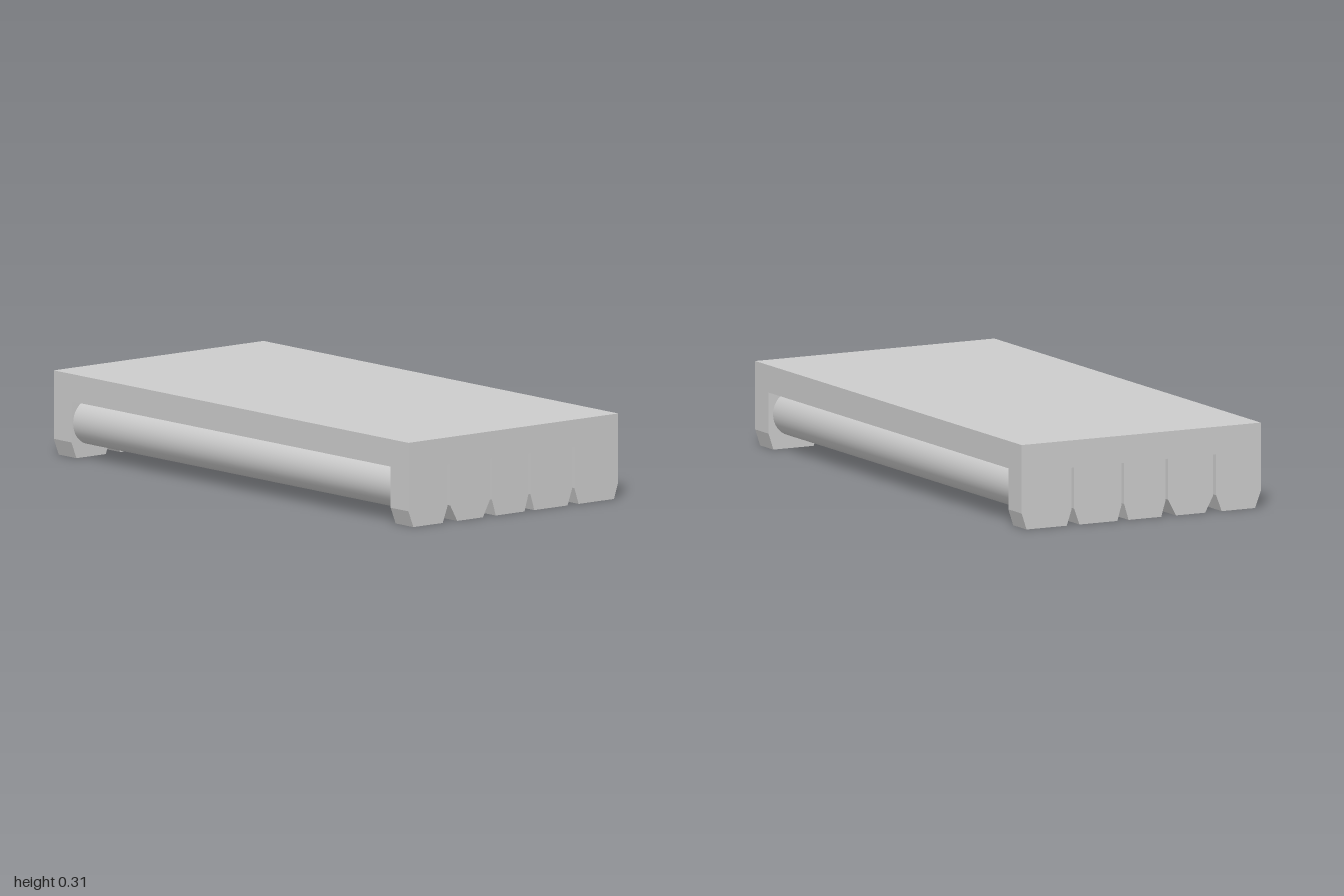
import * as THREE from 'three';

export function createModel() {
  const model = new THREE.Group();
  const material = new THREE.MeshStandardMaterial({ color: 0xcccccc });
  const add = (name, geometry, x, y, z) => {
    const mesh = new THREE.Mesh(geometry, material);
    mesh.name = name;
    mesh.position.set(x, y, z);
    model.add(mesh);
    return mesh;
  };

  const half = 0.49, top = 0.31, slotTop = 0.21, chamfer = 0.06, endDepth = 0.1;

  // Each tooth: left side, left foot, right foot, right side
  const teeth = [
    [-0.49, -0.467, -0.33, -0.307],
    [-0.295, -0.262, -0.142, -0.11],
    [-0.1, -0.082, 0.052, 0.07],
    [0.08, 0.098, 0.253, 0.275],
    [0.285, 0.305, 0.47, 0.49],
  ];

  // Flat top between the two end plates
  const length = 2 - 2 * endDepth;
  add('topSlab', new THREE.BoxGeometry(half * 2, top - slotTop, length), 0, (top + slotTop) / 2, 0);

  // Slotted end plates with chamfered feet
  const outline = [new THREE.Vector2(-half, top)];
  teeth.forEach(([a, b, c, d], i) => {
    if (i > 0) outline.push(new THREE.Vector2(a, slotTop));
    outline.push(
      new THREE.Vector2(a, chamfer), new THREE.Vector2(b, 0),
      new THREE.Vector2(c, 0), new THREE.Vector2(d, chamfer));
    if (i < teeth.length - 1) outline.push(new THREE.Vector2(d, slotTop));
  });
  outline.push(new THREE.Vector2(half, top));
  const plate = new THREE.ExtrudeGeometry(new THREE.Shape(outline), { depth: endDepth, bevelEnabled: false });
  add('frontEndPlate', plate, 0, 0, 1 - endDepth);
  add('backEndPlate', plate, 0, 0, -1);

  // Long round tubes under the slab, one per tooth
  const radius = 0.084;
  const tube = new THREE.CylinderGeometry(radius, radius, length, 40);
  tube.rotateX(Math.PI / 2);
  teeth.forEach(([a, , , d], i) => add('tube' + (i + 1), tube, (a + d) / 2, 0.045 + radius, 0));

  return model;
}
